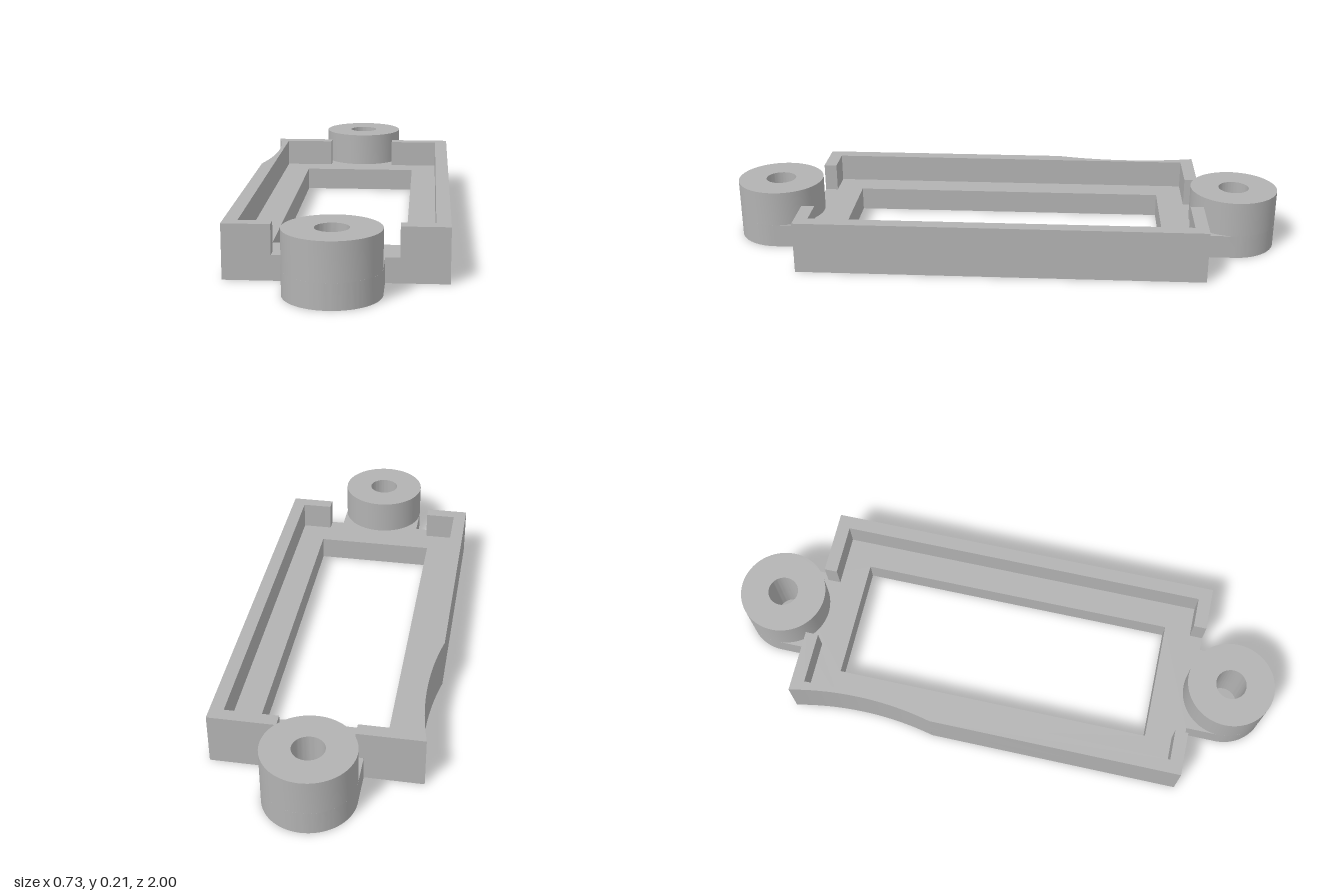
import * as THREE from 'three';
import { toCreasedNormals } from 'three/addons/utils/BufferGeometryUtils.js';

// Plan dimensions (shape y points to the back, i.e. -z)
const W = 0.364, L = 0.723;          // outer half width / length
const IW = 0.316, IL = 0.676;        // inside of the rim
const OW = 0.219, OL = 0.579;        // opening
const R = 0.157, C = 0.843, HOLE = 0.055; // screw bosses
const FLOOR = 0.085, RIM = 0.186, BOSS = 0.212;
const FRONT_GAP = 0.205, BACK_GAP = 0.13;

// Shallow concave relief on the -x side, running from the back corner forwards
function relief(shape) {
  const r = 1.16, mid = 0.47;
  shape.absarc(-0.331 - r, mid, r, Math.asin((L - mid) / r), -Math.asin(0.275 / r), true);
  shape.lineTo(-W, 0.195);
}

function circleHole(y) {
  return new THREE.Path().absarc(0, y, HOLE, 0, Math.PI * 2, true);
}

export function createModel() {
  const group = new THREE.Group();
  const grey = new THREE.MeshStandardMaterial({ color: 0xb2b2b2 });
  grey.name = 'grey plastic';

  function slab(name, shape, y0, y1) {
    let geo = new THREE.ExtrudeGeometry(shape, { depth: y1 - y0, bevelEnabled: false, curveSegments: 32 });
    geo.rotateX(-Math.PI / 2);
    geo.translate(0, y0, 0);
    geo = toCreasedNormals(geo, 0.5);
    const mesh = new THREE.Mesh(geo, grey);
    mesh.name = name;
    group.add(mesh);
  }

  // Base frame with rounded mounting tabs
  const base = new THREE.Shape();
  base.moveTo(-W, -L);
  base.lineTo(-R, -L);
  base.absarc(0, -C, R, Math.PI, Math.PI * 2, false);
  base.lineTo(R, -L);
  base.lineTo(W, -L);
  base.lineTo(W, L);
  base.lineTo(R, L);
  base.absarc(0, C, R, 0, Math.PI, false);
  base.lineTo(-R, L);
  relief(base);
  base.closePath();
  const opening = new THREE.Path();
  opening.moveTo(-OW, -OL);
  opening.lineTo(-OW, OL);
  opening.lineTo(OW, OL);
  opening.lineTo(OW, -OL);
  opening.closePath();
  base.holes.push(opening, circleHole(C), circleHole(-C));
  slab('baseFrame', base, 0, FLOOR);

  // Raised rim halves, open at both ends around the bosses
  for (const s of [1, -1]) {
    const rim = new THREE.Shape();
    rim.moveTo(s * FRONT_GAP, -IL);
    rim.lineTo(s * IW, -IL);
    rim.lineTo(s * IW, IL);
    rim.lineTo(s * BACK_GAP, IL);
    rim.lineTo(s * BACK_GAP, L);
    if (s < 0) relief(rim);
    else rim.lineTo(W, L);
    rim.lineTo(s * W, -L);
    rim.lineTo(s * FRONT_GAP, -L);
    rim.closePath();
    slab(s > 0 ? 'leftRim' : 'rightRim', rim, FLOOR, RIM);
  }

  // Screw bosses standing on the tabs
  for (const s of [1, -1]) {
    const boss = new THREE.Shape().absarc(0, s * C, R, 0, Math.PI * 2, false);
    boss.holes.push(circleHole(s * C));
    slab(s > 0 ? 'backBoss' : 'frontBoss', boss, FLOOR, BOSS);
  }

  return group;
}
